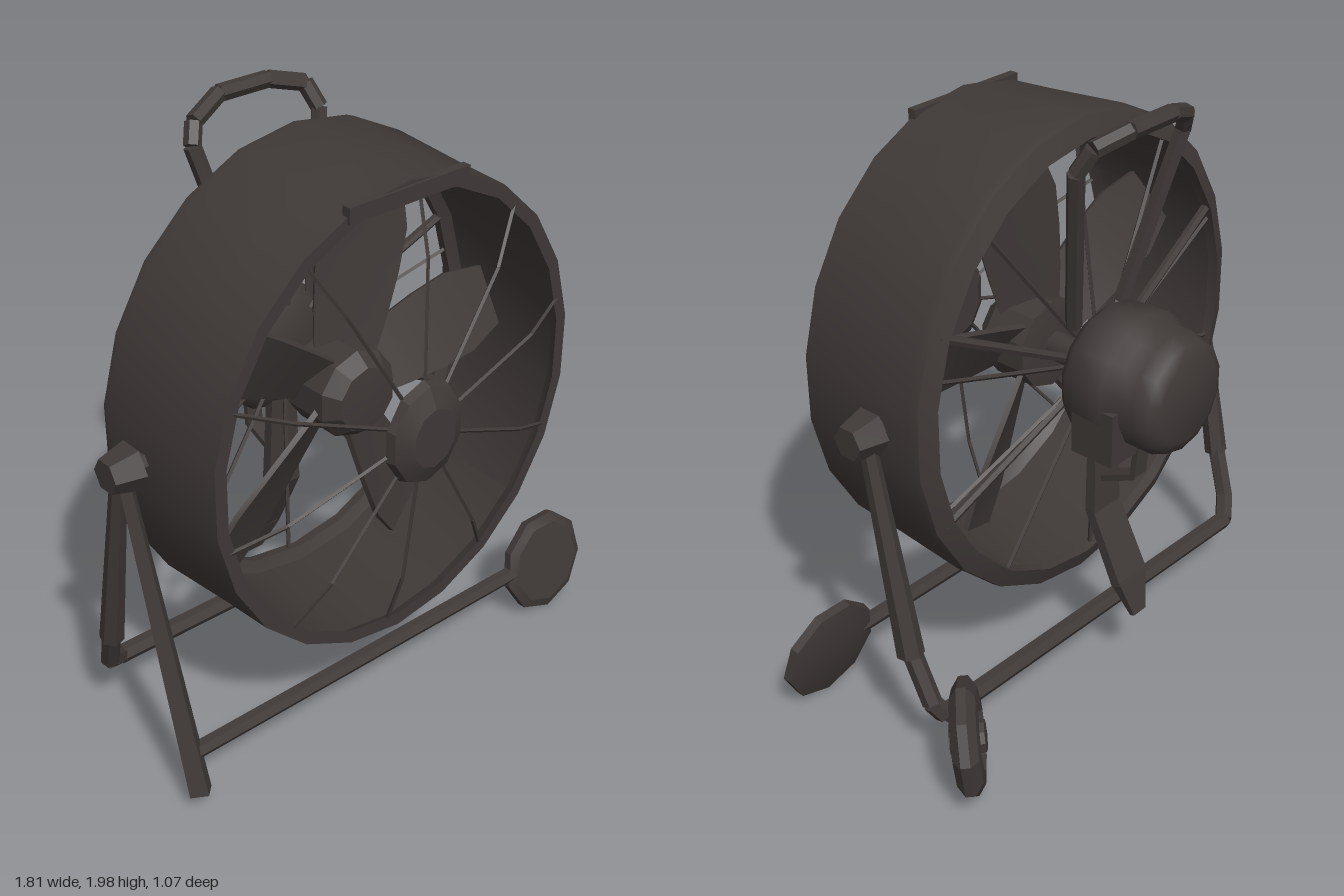
import * as THREE from 'three';
import { toCreasedNormals } from 'three/addons/utils/BufferGeometryUtils.js';

const CX = -0.04, CY = 1.12; // fan axis
const V = (x, y, z) => new THREE.Vector3(x, y, z);
const UP = V(0, 1, 0);

export function createModel() {
  const root = new THREE.Group();
  root.name = 'drumFan';
  const charcoal = new THREE.MeshStandardMaterial({ color: 0x3f3937, side: THREE.DoubleSide });
  charcoal.name = 'charcoal';

  const add = (name, geo, crease = 0.3, parent = root) => {
    const mesh = new THREE.Mesh(toCreasedNormals(geo, crease), charcoal);
    mesh.name = name;
    parent.add(mesh);
    return mesh;
  };

  // Put a part that runs along y between two points
  const span = (mesh, a, b) => {
    const d = b.clone().sub(a);
    mesh.position.copy(a).addScaledVector(d, 0.5);
    mesh.quaternion.setFromUnitVectors(UP, d.normalize());
    return mesh;
  };

  // Straight rod between two points
  const rod = (name, a, b, r0, r1 = r0, sides = 6, parent = root) =>
    span(add(name, new THREE.CylinderGeometry(r1, r0, a.distanceTo(b), sides), 0.3, parent), a, b);

  // Chain of rods through several points
  const rods = (name, pts, r) => {
    const g = new THREE.Group();
    g.name = name;
    root.add(g);
    for (let i = 0; i < pts.length - 1; i++) rod(name + 'Segment', pts[i], pts[i + 1], r, r, 6, g);
  };

  // Flat tapering strip between two points, wide in x
  const strip = (name, a, b, w0, w1, t) => {
    const geo = new THREE.CylinderGeometry(w1 * Math.SQRT1_2, w0 * Math.SQRT1_2, a.distanceTo(b), 4);
    geo.rotateY(Math.PI / 4);
    geo.scale(1, 1, t / w0);
    span(add(name, geo), a, b);
  };

  // Turned part along the fan axis, profile given as [radius, z]
  const turned = (name, profile, sides, crease, sx = 1) => {
    const geo = new THREE.LatheGeometry(profile.map(([r, z]) => new THREE.Vector2(r, z)), sides);
    geo.rotateX(Math.PI / 2);
    geo.scale(sx, 1, 1);
    add(name, geo, crease).position.set(CX, CY, 0);
  };

  // Drum shell with rolled rims
  turned('drum', [[0.735, 0.39], [0.78, 0.39], [0.79, 0.2], [0.81, -0.08], [0.805, -0.11],
    [0.74, -0.135], [0.735, -0.1], [0.775, -0.08], [0.76, 0.35], [0.735, 0.39]], 22, 0.5, 0.92);

  // Bracket at the top of the front rim
  add('rimBracket', new THREE.BoxGeometry(0.46, 0.05, 0.03)).position.set(CX, 1.86, 0.385);

  // Front centre plate, hub, shaft and motor
  turned('centrePlate', [[0, 0.53], [0.1, 0.53], [0.165, 0.5], [0.175, 0.47], [0.12, 0.44], [0, 0.44]], 10, 0.3, 0.86);
  turned('hub', [[0, 0.24], [0.11, 0.23], [0.15, 0.18], [0.15, 0.02], [0, 0.0]], 10, 0.4);
  turned('shaft', [[0.05, 0.1], [0.05, -0.18]], 8, 1);
  turned('motor', [[0, -0.14], [0.13, -0.15], [0.19, -0.18], [0.225, -0.22], [0.23, -0.36],
    [0.2, -0.4], [0.2, -0.46], [0.18, -0.51], [0.14, -0.53], [0, -0.535]], 14, 0.8);
  add('terminalBox', new THREE.BoxGeometry(0.12, 0.18, 0.16)).position.set(0.12, 1.02, -0.33);

  // Five pitched blades, widening and untwisting outwards
  const bladeGeo = new THREE.BoxGeometry(1, 1, 0.018, 1, 4, 1);
  const p = bladeGeo.attributes.position;
  for (let i = 0; i < p.count; i++) {
    const t = p.getY(i) + 0.5;
    const w = (0.19 + 0.09 * Math.sin(Math.min(t * 1.25, 1) * Math.PI / 2)) * (t > 0.95 ? 0.75 : 1);
    const twist = 0.6 - 0.25 * t;
    const x = p.getX(i) * w, z = p.getZ(i);
    p.setXYZ(i, x * Math.cos(twist) - z * Math.sin(twist), 0.1 + t * 0.56,
      x * Math.sin(twist) + z * Math.cos(twist));
  }
  for (let i = 0; i < 5; i++) {
    const blade = add('blade', bladeGeo, 0.5);
    blade.position.set(CX, CY, 0.1);
    blade.rotation.z = THREE.MathUtils.degToRad(-10 + i * 72);
  }

  // Thin guard spokes, domed at the front and flat at the back
  const ring = (a, r, z) => V(CX + 0.93 * r * Math.cos(a), CY + r * Math.sin(a), z);
  for (let i = 0; i < 10; i++) {
    const a = (i / 10) * Math.PI * 2 + 0.25;
    rod('frontGuardSpoke', ring(a, 0.14, 0.47), ring(a, 0.55, 0.44), 0.007, 0.007, 4);
    rod('frontGuardSpoke', ring(a, 0.55, 0.44), ring(a, 0.755, 0.38), 0.007, 0.007, 4);
    rod('backGuardSpoke', ring(a, 0.17, -0.16), ring(a, 0.755, -0.11), 0.008, 0.008, 4);
  }

  // Motor mounting arms
  for (const deg of [25, 155, 205, 335]) {
    const a = THREE.MathUtils.degToRad(deg);
    rod('motorArm', ring(a, 0.18, -0.16), ring(a, 0.76, -0.11), 0.016);
  }

  // Carrying handle above the motor
  rods('handle', [V(-0.15, 1.3, -0.17), V(-0.29, 1.86, -0.28), V(-0.26, 1.92, -0.31),
    V(-0.13, 1.965, -0.355), V(0.06, 1.965, -0.355), V(0.18, 1.935, -0.32),
    V(0.205, 1.86, -0.28), V(0.08, 1.3, -0.17)], 0.028);

  // Rear strut below the motor, kicked out to a narrow foot
  strip('rearStrut', V(CX, 1.0, -0.19), V(CX, 0.6, -0.2), 0.1, 0.13, 0.03);
  strip('rearStrut', V(CX, 0.61, -0.195), V(CX, 0.36, -0.32), 0.13, 0.14, 0.035);
  strip('rearFoot', V(CX, 0.37, -0.315), V(CX, 0.24, -0.36), 0.14, 0.06, 0.04);
  strip('strutBrace', V(CX, 0.95, -0.36), V(CX, 0.77, -0.34), 0.06, 0.06, 0.02);
  strip('strutBrace', V(CX, 0.78, -0.35), V(CX, 0.71, -0.19), 0.06, 0.06, 0.02);

  // Pivot knobs on both sides of the drum
  for (const [x, inner] of [[-0.85, -0.76], [0.77, 0.68]]) {
    const s = Math.sign(x);
    rod('pivotKnob', V(x - s * 0.05, CY, 0.06), V(x + s * 0.045, CY, 0.06), 0.078, 0.055, 6);
    rod('pivotPin', V(inner, CY, 0.06), V(x, CY, 0.06), 0.035);
  }

  // Stand: tapering legs, front bar and rear bar with bent corners
  rod('frontLeg', V(-0.83, CY, 0.05), V(-0.825, 0.07, 0.35), 0.024, 0.042, 4);
  rod('frontBar', V(-0.82, 0.2, 0.31), V(0.73, 0.2, 0.32), 0.028);
  rod('leftRearLeg', V(-0.84, CY, 0.05), V(-0.82, 0.4, -0.1), 0.026, 0.04);
  rod('rightRearLeg', V(0.75, CY, 0.05), V(0.755, 0.4, -0.1), 0.026, 0.044);
  rods('rearFrame', [V(-0.82, 0.42, -0.1), V(-0.79, 0.25, -0.17), V(-0.72, 0.2, -0.22),
    V(0.72, 0.2, -0.2), V(0.75, 0.25, -0.18), V(0.755, 0.42, -0.1)], 0.032);

  // Two wheels, each turned from [radius, offset] about its own axis
  const wheel = (name, profile, pos, axis) => {
    const mesh = add(name, new THREE.LatheGeometry(profile.map(([r, y]) => new THREE.Vector2(r, y)), 9));
    mesh.position.copy(pos);
    mesh.quaternion.setFromUnitVectors(UP, axis.normalize());
  };
  wheel('frontWheel', [[0, -0.035], [0.12, -0.03], [0.18, -0.015], [0.183, 0.015], [0.15, 0.03], [0, 0.03]],
    V(0.73, 0.19, 0.32), V(0, 0.2, 1));
  wheel('rearWheel', [[0, -0.06], [0.05, -0.055], [0.055, -0.02], [0.09, -0.02], [0.11, -0.045], [0.15, -0.04],
    [0.187, -0.015], [0.187, 0.015], [0.15, 0.04], [0.11, 0.045], [0.09, 0.02], [0.055, 0.02], [0.05, 0.055], [0, 0.06]],
    V(0.755, 0.205, -0.335), V(-0.68, 0.1, -0.73));

  return root;
}
